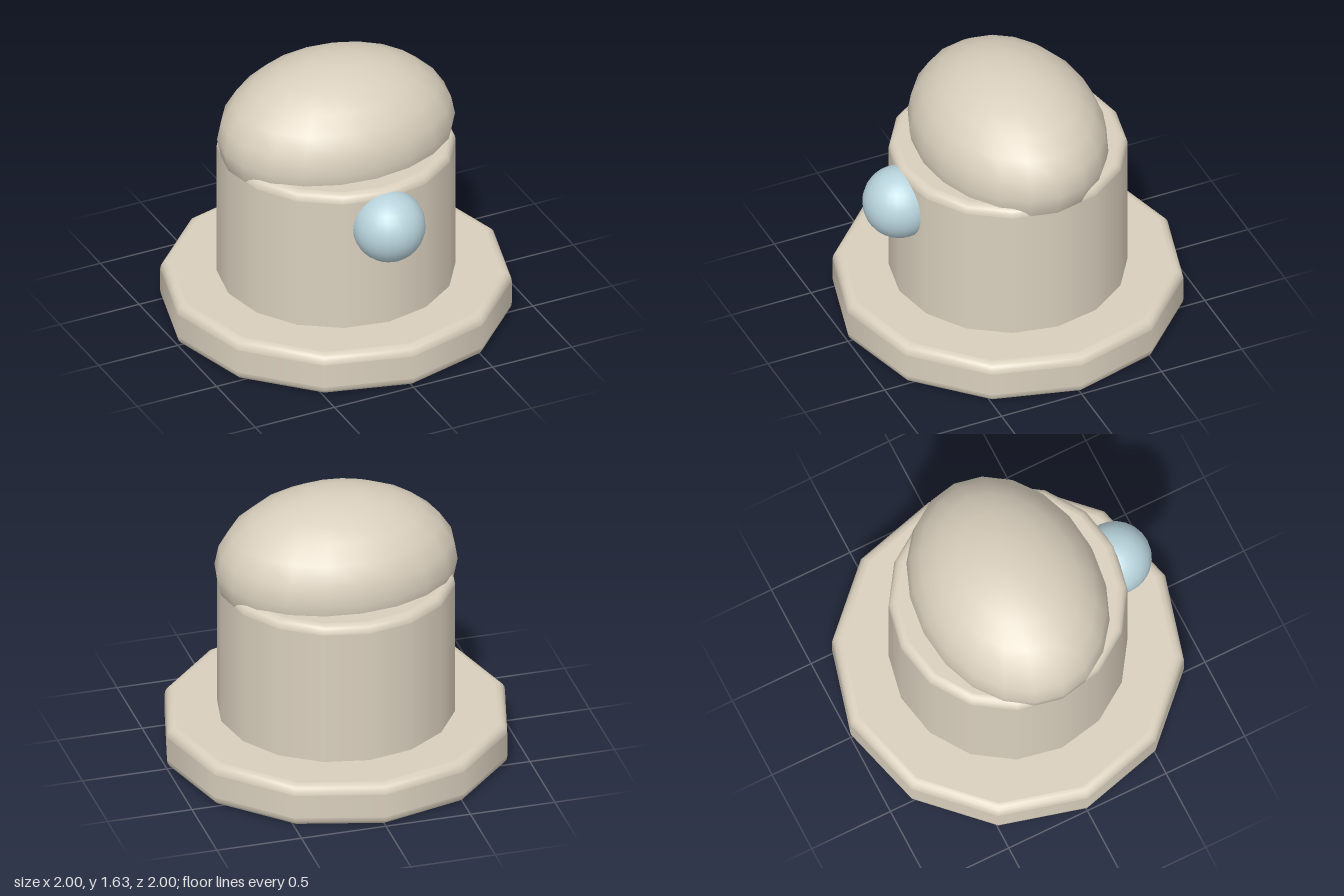
import * as THREE from 'three';

const stone = new THREE.MeshStandardMaterial({ name: 'warm stone', color: 0xd9cfbd });
const glass = new THREE.MeshStandardMaterial({ name: 'pale blue', color: 0xb8d3dc });

// Faceted drum with rounded rims; extra rings beside each rim keep the flats flat
function roundedDrum(radius, y0, y1, sides, bevelBottom, bevelTop) {
  const e = 0.003;
  const pts = [[0, y0]];
  const steps = 4;
  const b0 = bevelBottom, b1 = bevelTop;
  pts.push([radius - b0 - e, y0]);
  for (let i = 0; i <= steps; i++) {
    const a = (i / steps) * Math.PI / 2;
    pts.push([radius - b0 + b0 * Math.sin(a), y0 + b0 - b0 * Math.cos(a)]);
  }
  pts.push([radius, y0 + b0 + e], [radius, y1 - b1 - e]);
  for (let i = 0; i <= steps; i++) {
    const a = (i / steps) * Math.PI / 2;
    pts.push([radius - b1 + b1 * Math.cos(a), y1 - b1 + b1 * Math.sin(a)]);
  }
  pts.push([radius - b1 - e, y1], [0, y1]);
  return new THREE.LatheGeometry(pts.map(([x, y]) => new THREE.Vector2(x, y)), sides);
}

function addPart(group, name, geometry, material) {
  const mesh = new THREE.Mesh(geometry, material);
  mesh.name = name;
  group.add(mesh);
  return mesh;
}

export function createModel() {
  const model = new THREE.Group();
  model.name = 'domedPost';

  // Twelve-sided foot and sixteen-sided body
  addPart(model, 'base', roundedDrum(1, 0, 0.26, 12, 0.055, 0.055), stone);
  addPart(model, 'body', roundedDrum(0.68, 0.2, 1.13, 16, 0.05, 0.05), stone);

  // Oval cap, wider from side to side
  const dome = addPart(model, 'dome', new THREE.SphereGeometry(1, 20, 12), stone);
  dome.scale.set(0.705, 0.445, 0.54);
  dome.position.y = 1.19;

  // Round lens set into the front
  const lens = addPart(model, 'lens', new THREE.SphereGeometry(0.21, 24, 16), glass);
  lens.position.set(0, 0.9, 0.68);

  return model;
}
